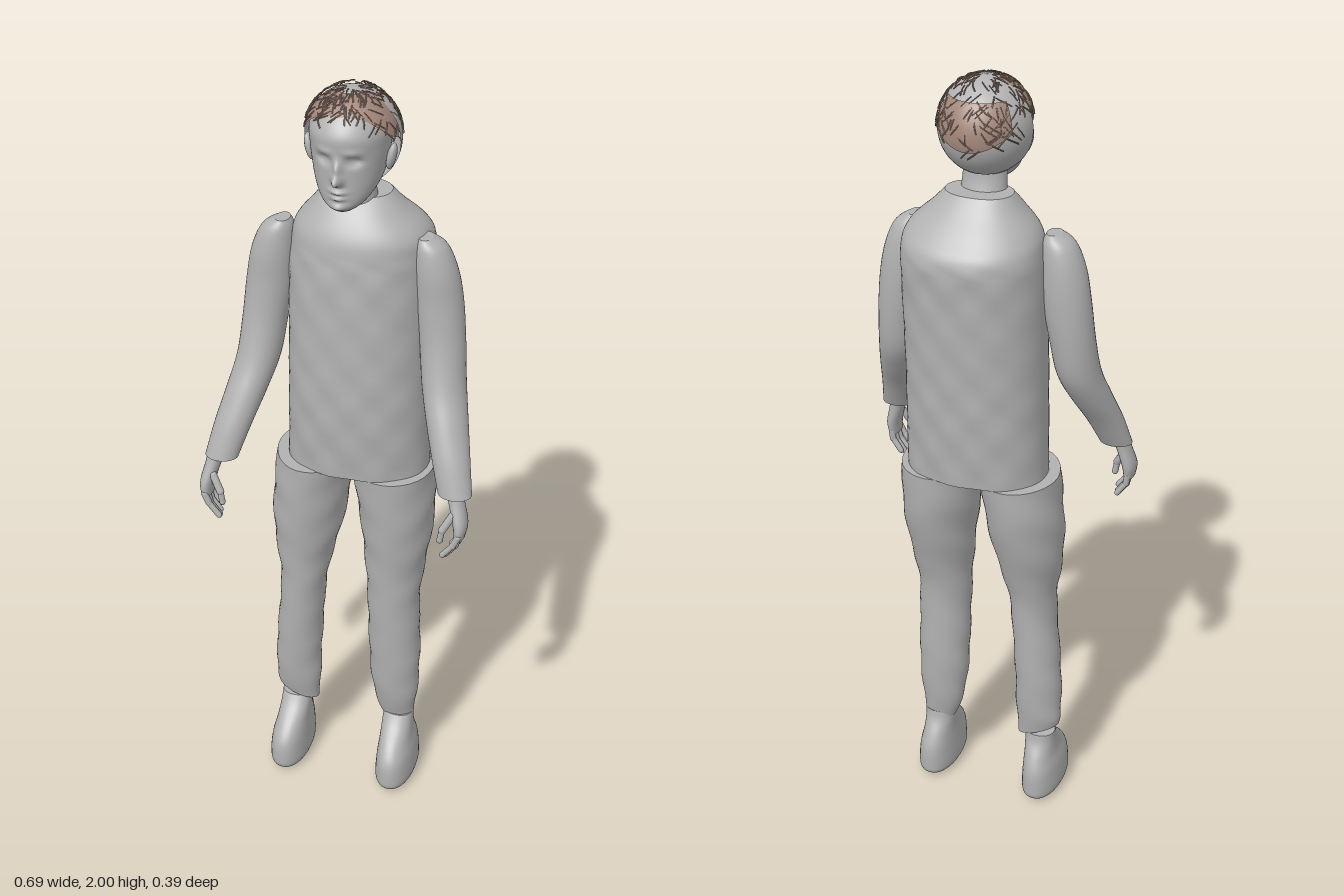
import * as THREE from 'three';
import { mergeGeometries } from 'three/addons/utils/BufferGeometryUtils.js';
import { ParametricGeometry } from 'three/addons/geometries/ParametricGeometry.js';

const grey = new THREE.MeshStandardMaterial({ color: 0xb2b2b2, side: THREE.DoubleSide });
grey.name = 'plain grey';
const brown = new THREE.MeshStandardMaterial({ color: 0xa3877a, side: THREE.DoubleSide });
brown.name = 'hair brown';

// Smooth interpolation through a list of cross-section rows
function sample(rows, t) {
  const i = Math.min(Math.floor(t), rows.length - 2), f = t - i;
  const at = k => rows[Math.max(0, Math.min(rows.length - 1, k))];
  return rows[i].map((p1, k) => {
    const p0 = at(i - 1)[k], p2 = at(i + 1)[k], p3 = at(i + 2)[k];
    return p1 + 0.5 * f * (p2 - p0 + f * (2 * p0 - 5 * p1 + 4 * p2 - p3 + f * (3 * (p1 - p2) + p3 - p0)));
  });
}

// Closed loft; rows run from top to bottom as [y, centre x, centre z, radius x, radius z]
function loft(rows, { seg = 36, sub = 5, power = 2, side = 1, dx = 0, warp } = {}) {
  const pos = [], idx = [], n = (rows.length - 1) * sub;
  const sup = v => Math.sign(v) * Math.abs(v) ** (2 / power);
  const ring = t => {
    const [y, cx, cz, rx, rz] = sample(rows, t), start = pos.length / 3;
    for (let j = 0; j < seg; j++) {
      const a = (j / seg) * Math.PI * 2;
      const p = new THREE.Vector3(dx + side * cx + rx * sup(Math.cos(a)), y, cz + rz * sup(Math.sin(a)));
      if (warp) warp(p);
      pos.push(p.x, p.y, p.z);
    }
    return start;
  };
  for (let i = 0; i <= n; i++) ring(i / sub);
  for (let i = 0; i < n; i++) for (let j = 0; j < seg; j++) {
    const k = (j + 1) % seg, a = i * seg + j, b = i * seg + k;
    idx.push(a, b, a + seg, b, b + seg, a + seg);
  }
  // End caps on their own vertices, so the rims stay sharp
  for (const top of [true, false]) {
    const s = ring(top ? 0 : n / sub), c = pos.length / 3, r = rows[top ? 0 : rows.length - 1];
    pos.push(dx + side * r[1], r[0], r[2]);
    for (let j = 0; j < seg; j++) {
      const k = (j + 1) % seg;
      idx.push(c, s + (top ? k : j), s + (top ? j : k));
    }
  }
  const g = new THREE.BufferGeometry();
  g.setAttribute('position', new THREE.Float32BufferAttribute(pos, 3));
  g.setIndex(idx);
  g.computeVertexNormals();
  return g;
}

// Rounded finger segment between two points
function finger(a, b, r) {
  const d = b.clone().sub(a);
  const g = new THREE.CapsuleGeometry(r, d.length(), 4, 10);
  g.applyQuaternion(new THREE.Quaternion().setFromUnitVectors(new THREE.Vector3(0, 1, 0), d.normalize()));
  const m = a.clone().add(b).multiplyScalar(0.5);
  return g.translate(m.x, m.y, m.z);
}

// Point on the scalp; phi 0 is the left side, PI/2 the front
function scalp(phi, theta, k, out = new THREE.Vector3()) {
  const s = Math.sin(theta) * k;
  return out.set(0.008 + 0.108 * s * Math.cos(phi), 1.88 + 0.116 * k * Math.cos(theta), 0.015 + 0.122 * s * Math.sin(phi));
}
const hairline = phi => Math.sin(phi) > 0 ? 0.82 + 0.62 * Math.cos(phi) ** 4 : 1.3 + 0.5 * Math.sin(phi) ** 2;

export function createModel() {
  const model = new THREE.Group();
  model.name = 'standingMan';
  const add = (name, geometry, material = grey) => {
    const m = new THREE.Mesh(geometry, material);
    m.name = name;
    model.add(m);
    return m;
  };

  // Jacket body with faint cloth unevenness
  add('torso', loft([
    [1.735, 0.008, -0.03, 0.083, 0.058], [1.70, 0.012, -0.028, 0.112, 0.088], [1.65, 0.018, -0.035, 0.158, 0.126],
    [1.60, 0.018, -0.046, 0.172, 0.148], [1.5, 0.016, -0.04, 0.176, 0.15], [1.3, 0.015, -0.031, 0.176, 0.147],
    [1.15, 0.015, -0.027, 0.178, 0.142], [1.0, 0.015, -0.026, 0.181, 0.13],
  ], {
    seg: 64, sub: 6, power: 2.2, warp: p => {
      p.z += 0.003 * Math.sin(p.x * 55) * Math.sin(p.y * 48) * (p.y < 1.6 ? 1 : 0);
    },
  }));
  add('neck', loft([[1.82, 0.008, 0.01, 0.055, 0.045], [1.76, 0.008, 0.005, 0.054, 0.042], [1.69, 0.008, -0.01, 0.06, 0.05]]));

  // Head with the face raised and sunk by soft bumps: [x, y, width, height, depth]
  const bumps = [
    [0, 1.822, 0.011, 0.012, 0.034], [0, 1.848, 0.009, 0.02, 0.018],
    [0.035, 1.864, 0.016, 0.010, -0.016], [-0.035, 1.864, 0.016, 0.010, -0.016],
    [0.033, 1.863, 0.010, 0.005, 0.006], [-0.033, 1.863, 0.010, 0.005, 0.006],
    [0.032, 1.887, 0.02, 0.007, 0.005], [-0.032, 1.887, 0.02, 0.007, 0.005],
    [0, 1.792, 0.018, 0.005, 0.013], [0, 1.777, 0.016, 0.005, 0.011], [0, 1.753, 0.018, 0.010, 0.009],
  ];
  add('head', loft([
    [1.996, 0.008, 0.015, 0.012, 0.012], [1.985, 0.008, 0.015, 0.048, 0.054], [1.96, 0.008, 0.018, 0.078, 0.088],
    [1.92, 0.008, 0.025, 0.093, 0.108], [1.88, 0.008, 0.026, 0.092, 0.106], [1.84, 0.008, 0.028, 0.087, 0.102],
    [1.80, 0.008, 0.04, 0.077, 0.09], [1.77, 0.008, 0.064, 0.061, 0.066], [1.75, 0.008, 0.075, 0.044, 0.052],
    [1.735, 0.008, 0.08, 0.024, 0.03],
  ], {
    seg: 96, sub: 7, warp: p => {
      if (p.z < 0.05) return;
      let d = 0;
      for (const [x, y, w, h, depth] of bumps) d += depth * Math.exp(-(((p.x - 0.008 - x) / w) ** 2) - ((p.y - y) / h) ** 2);
      p.z += d;
    },
  }));

  // Open shell round the back of the skull, and the ears
  const shell = new THREE.SphereGeometry(1, 32, 28, Math.PI, Math.PI, 0, 2.6);
  shell.scale(0.114, 0.117, 0.124).translate(0.008, 1.88, 0.017);
  add('skullShell', shell);
  for (const s of [1, -1]) {
    const ear = new THREE.SphereGeometry(1, 14, 12).scale(0.011, 0.033, 0.018).rotateZ(-s * 0.2);
    add(s > 0 ? 'leftEar' : 'rightEar', ear.translate(0.008 + s * 0.097, 1.85, 0.03));
  }

  // Hair sheets: fringe and sides in front, a patch at the back
  const sheet = (from, to, upper, lower, k) => new ParametricGeometry((u, v, out) => {
    const phi = from + (to - from) * u;
    scalp(phi, THREE.MathUtils.lerp(upper, lower(phi), v), k, out);
  }, 32, 10);
  add('frontHair', sheet(-0.05, Math.PI + 0.05, 0.28, hairline, 1.025), brown);
  add('backHair', sheet(Math.PI * 1.2, Math.PI * 1.8, 0.85, hairline, 1.065), brown);

  // Loose strands over the scalp
  let seed = 7;
  const rnd = () => (seed = (seed * 16807) % 2147483647) / 2147483647;
  const strands = [];
  for (let i = 0; i < 210; i++) {
    const phi = rnd() * Math.PI * 2, theta = 0.12 + rnd() * (hairline(phi) - 0.12);
    const turn = (rnd() - 0.5) * 0.4, k = Math.sin(phi) > 0 ? 1.025 : 1.06;
    const pts = [0, 1, 2].map(t => scalp(phi + turn * t, theta + 0.11 * t, k + 0.012 * Math.sin(t * 1.5)));
    pts.forEach(p => { p.y = Math.min(p.y, 1.998); });
    strands.push(new THREE.TubeGeometry(new THREE.CatmullRomCurve3(pts), 4, 0.0016, 4));
  }
  add('hairStrands', mergeGeometries(strands), brown);

  // Sleeves and hands, mirrored
  for (const s of [1, -1]) {
    const side = s > 0 ? 'left' : 'right', dx = 0.006;
    add(side + 'Sleeve', loft([
      [1.645, 0.175, -0.002, 0.018, 0.026], [1.62, 0.188, -0.004, 0.04, 0.044], [1.56, 0.2, -0.005, 0.054, 0.054],
      [1.48, 0.21, -0.006, 0.059, 0.056], [1.38, 0.223, 0.002, 0.056, 0.058], [1.28, 0.235, 0.024, 0.054, 0.062],
      [1.2, 0.255, 0.064, 0.051, 0.058], [1.12, 0.278, 0.108, 0.047, 0.046], [1.04, 0.299, 0.142, 0.042, 0.034],
    ], { side: s, dx }));
    const v = (x, y, z) => new THREE.Vector3(s * x, y, z);
    const hand = [loft([
      [1.06, 0.303, 0.142, 0.022, 0.022], [1.02, 0.313, 0.150, 0.02, 0.025],
      [0.97, 0.326, 0.160, 0.018, 0.033], [0.935, 0.326, 0.164, 0.013, 0.03],
    ], { side: s, seg: 20 })];
    for (let i = 0; i < 4; i++) {
      const z = 0.139 + i * 0.0165, drop = [0.012, 0.002, 0, 0.008][i];
      const knuckle = v(0.327, 0.945, z), mid = v(0.324 - i * 0.003, 0.91 + drop, z + 0.001);
      hand.push(finger(knuckle, mid, 0.0085), finger(mid, v(0.302 - i * 0.004, 0.878 + drop, z), 0.0075));
    }
    hand.push(finger(v(0.308, 0.995, 0.172), v(0.286, 0.955, 0.183), 0.010), finger(v(0.286, 0.955, 0.183), v(0.281, 0.925, 0.184), 0.008));
    const handGroup = new THREE.Group();
    handGroup.name = side + 'Hand';
    hand.forEach((g, i) => {
      const m = new THREE.Mesh(g, grey);
      m.name = i ? side + 'FingerJoint' + i : side + 'Palm';
      handGroup.add(m);
    });
    model.add(handGroup);
  }

  // Trousers; the right hem is cut at a slant
  const cloth = p => { p.x += 0.002 * Math.sin(p.y * 50 + p.z * 30); };
  add('rightTrouserLeg', loft([
    [1.0, -0.096, -0.022, 0.099, 0.127], [0.9, -0.108, -0.021, 0.097, 0.12], [0.8, -0.117, -0.014, 0.092, 0.104],
    [0.7, -0.124, -0.005, 0.075, 0.083], [0.6, -0.129, 0.002, 0.06, 0.07], [0.4, -0.145, -0.002, 0.061, 0.062],
    [0.27, -0.15, -0.004, 0.061, 0.05], [0.205, -0.15, -0.006, 0.056, 0.036],
  ], {
    warp: p => { cloth(p); if (p.y < 0.26) p.y -= (p.x + 0.15) * 0.4 * (0.26 - p.y) / 0.055; },
  }));
  add('leftTrouserLeg', loft([
    [1.0, 0.107, -0.022, 0.106, 0.127], [0.9, 0.115, -0.021, 0.099, 0.12], [0.8, 0.12, -0.014, 0.09, 0.104],
    [0.7, 0.119, -0.005, 0.078, 0.083], [0.6, 0.118, 0.002, 0.069, 0.07], [0.4, 0.122, -0.002, 0.068, 0.062],
    [0.27, 0.125, -0.004, 0.06, 0.05], [0.18, 0.132, -0.008, 0.042, 0.03],
  ], { warp: cloth }));

  // Shoes
  const shoe = [
    [0.198, 0, -0.006, 0.04, 0.036], [0.17, 0, 0.002, 0.041, 0.05], [0.13, 0.002, 0.014, 0.043, 0.084],
    [0.09, 0.005, 0.021, 0.049, 0.105], [0.04, 0.006, 0.023, 0.053, 0.108], [0.015, 0.006, 0.023, 0.05, 0.104],
    [0, 0.006, 0.024, 0.038, 0.085],
  ];
  add('rightShoe', loft(shoe, { side: -1, dx: -0.156, power: 2.2 }));
  add('leftShoe', loft(shoe, { side: 1, dx: 0.135, power: 2.2 }));
  return model;
}
